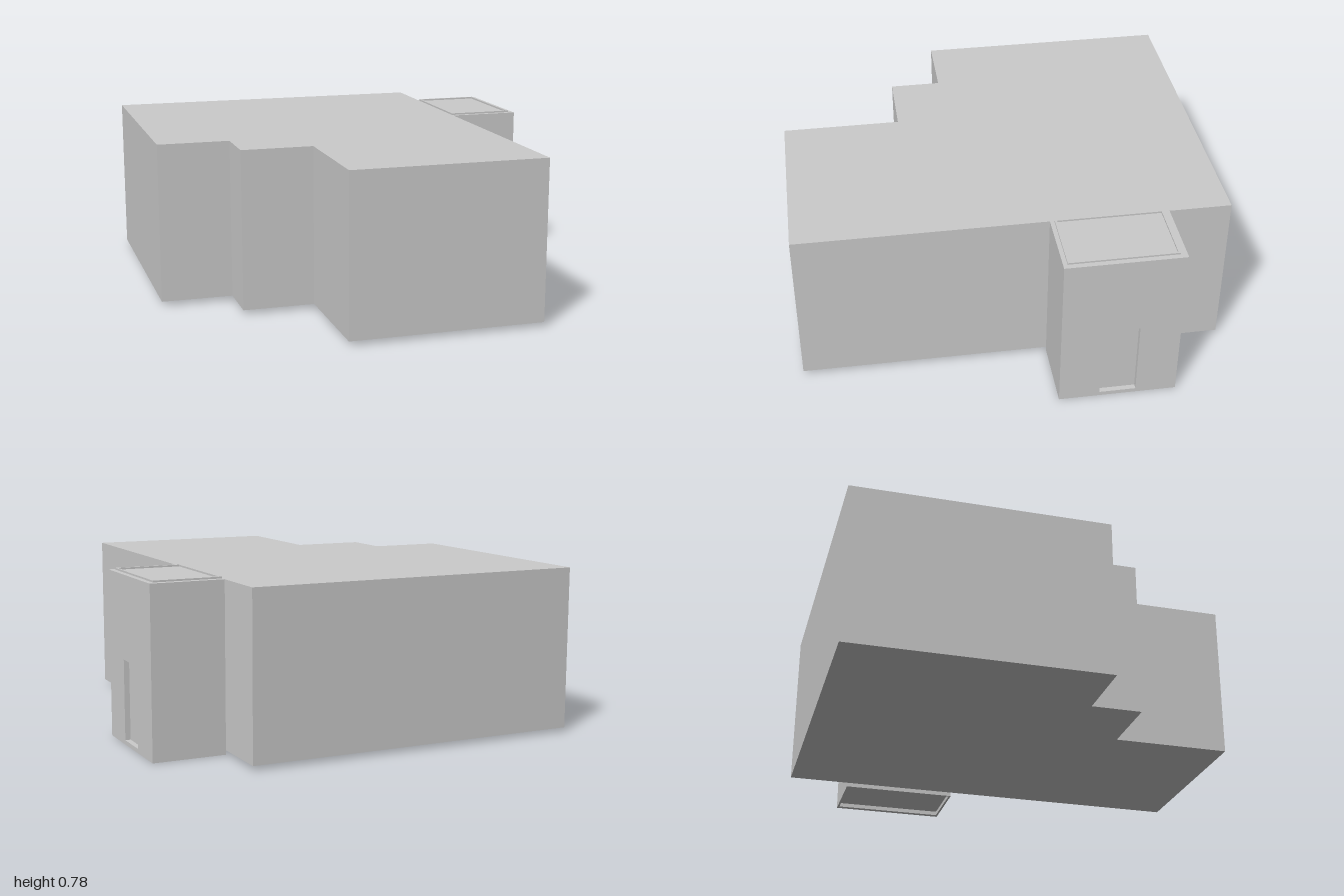
import * as THREE from 'three';

const material = new THREE.MeshStandardMaterial({ color: 0xcccccc, flatShading: true });

function add(group, name, geometry) {
  const mesh = new THREE.Mesh(geometry, material);
  mesh.name = name;
  group.add(mesh);
  return mesh;
}

// Box given by its lower and upper corners
function block(group, name, [x0, y0, z0], [x1, y1, z1]) {
  add(group, name, new THREE.BoxGeometry(x1 - x0, y1 - y0, z1 - z0))
    .position.set((x0 + x1) / 2, (y0 + y1) / 2, (z0 + z1) / 2);
}

function rectangle(Type, x0, y0, x1, y1) {
  return new Type([[x0, y0], [x1, y0], [x1, y1], [x0, y1]].map(p => new THREE.Vector2(...p)));
}

export function createModel() {
  const model = new THREE.Group();
  model.name = 'building';
  const base = 0.02, top = 0.775;

  // Main hall: stepped floor plan, raised straight up
  const plan = [[-0.97, -1], [0.63, -1], [0.63, 1], [-0.29, 1],
    [-0.29, 0.44], [-0.63, 0.44], [-0.63, 0.2], [-0.97, 0.2]];
  const hall = new THREE.ExtrudeGeometry(
    new THREE.Shape(plan.map(([x, z]) => new THREE.Vector2(x, -z))),
    { depth: top - base, bevelEnabled: false });
  hall.rotateX(-Math.PI / 2).translate(0, base, 0);
  add(model, 'mainHall', hall);

  // Entrance annex on the left side
  const annex = new THREE.Group();
  annex.name = 'entranceAnnex';
  model.add(annex);
  const x0 = 0.63, x1 = 0.97, z0 = -0.71, z1 = -0.16, wall = 0.025, rim = 0.01;
  block(annex, 'annexBody', [x0, base, z0], [x1 - wall, top, z1]);

  // Outer wall with a recessed doorway
  const face = rectangle(THREE.Shape, -z1, 0, -z0, top);
  face.holes.push(rectangle(THREE.Path, 0.35, base, 0.52, 0.39));
  const outerWall = new THREE.ExtrudeGeometry(face, { depth: wall, bevelEnabled: false });
  outerWall.rotateY(Math.PI / 2).translate(x1 - wall, 0, 0);
  add(annex, 'doorWall', outerWall);

  // Low skirting around the underside
  block(annex, 'skirtingBack', [x0, 0, z0], [x1 - wall, base, z0 + rim]);
  block(annex, 'skirtingFront', [x0, 0, z1 - rim], [x1 - wall, base, z1]);
  block(annex, 'skirtingInner', [x0, 0, z0 + rim], [x0 + rim, base, z1 - rim]);

  // Thin raised edging on the annex roof
  const edging = rectangle(THREE.Shape, x0, 0.18, x1 - wall, 0.68);
  edging.holes.push(rectangle(THREE.Path, x0 + rim, 0.18 + rim, x1 - wall - rim, 0.68 - rim));
  const roofEdging = new THREE.ExtrudeGeometry(edging, { depth: 0.008, bevelEnabled: false });
  roofEdging.rotateX(-Math.PI / 2).translate(0, top, 0);
  add(annex, 'roofEdging', roofEdging);

  return model;
}
